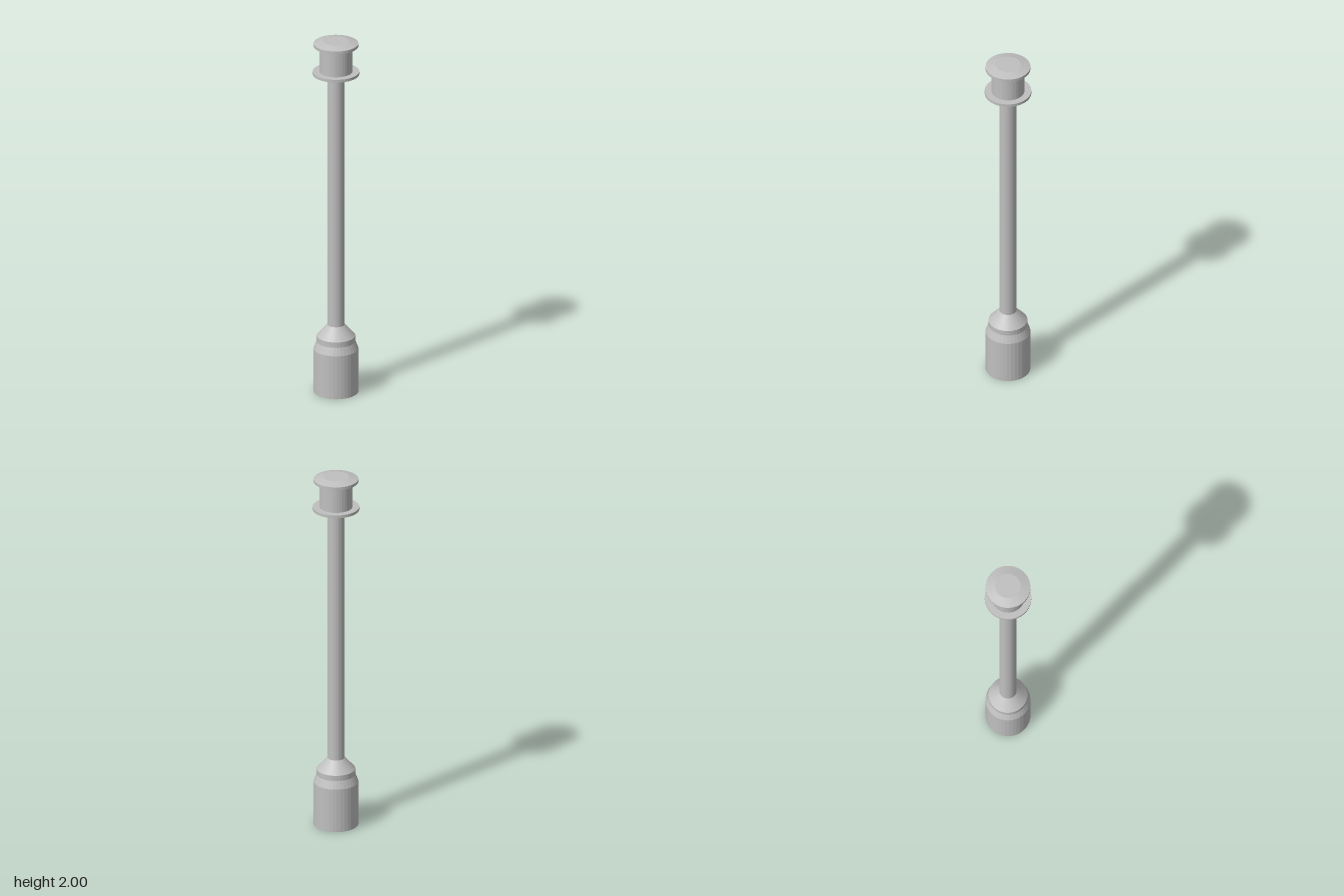
import * as THREE from 'three';

const SIDES = 36;

export function createModel() {
  const model = new THREE.Group();
  model.name = 'handle';

  const metal = new THREE.MeshStandardMaterial({ color: 0xc0c0c0, flatShading: true });
  metal.name = 'grey metal';

  // Closed turned part from a bottom-to-top list of [radius, height]
  const turned = (name, profile) => {
    const points = profile.map(([r, y]) => new THREE.Vector2(r, y));
    const mesh = new THREE.Mesh(new THREE.LatheGeometry(points, SIDES), metal);
    mesh.name = name;
    model.add(mesh);
  };

  // Weighted base with a stepped shoulder and a cone running into the shaft
  turned('base', [
    [0, 0], [0.119, 0], [0.119, 0.245], [0.103, 0.288],
    [0.103, 0.318], [0.046, 0.382], [0, 0.382],
  ]);

  // Long slim shaft
  turned('shaft', [[0, 0.37], [0.046, 0.37], [0.046, 1.8], [0, 1.8]]);

  // Collar with a bevelled underside
  turned('collar', [[0, 1.788], [0.05, 1.788], [0.124, 1.812], [0.124, 1.828], [0, 1.828]]);

  // Neck between the collar and the cap
  turned('neck', [[0, 1.82], [0.088, 1.82], [0.088, 1.98], [0, 1.98]]);

  // Cap with a shallow domed top
  turned('cap', [[0, 1.972], [0.119, 1.972], [0.119, 1.988], [0.068, 2], [0, 2]]);

  return model;
}
